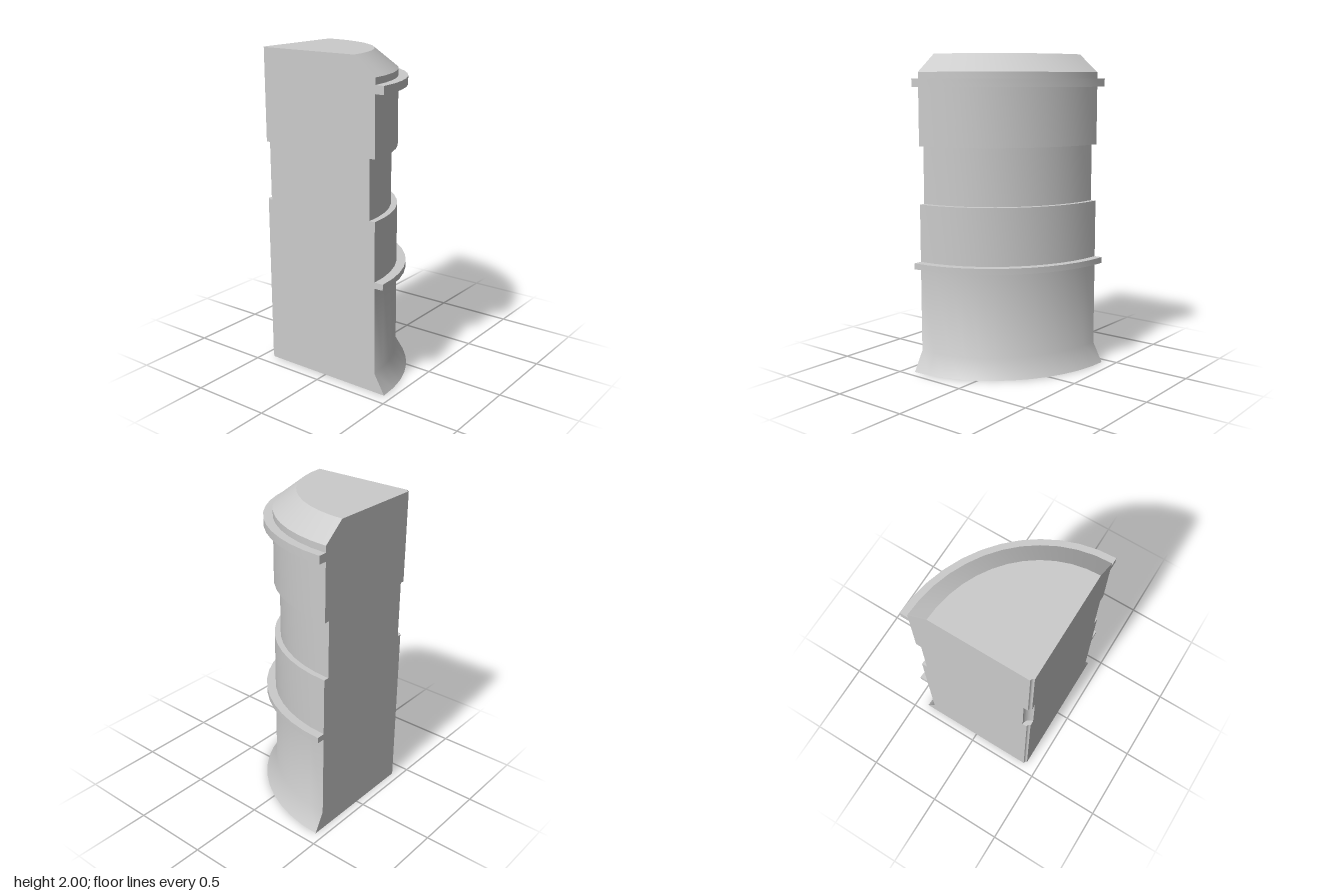
import * as THREE from 'three';
import { toCreasedNormals } from 'three/addons/utils/BufferGeometryUtils.js';

const CORNER_X = -0.418, CORNER_Z = -0.448;
const X_SCALE = 0.932; // the plan is a quarter of a slightly flattened ellipse

export function createModel() {
  const group = new THREE.Group();
  const material = new THREE.MeshStandardMaterial({ color: 0xcccccc });
  const flatMaterial = new THREE.MeshStandardMaterial({ color: 0xcccccc, side: THREE.DoubleSide });

  // Closed section (radius, height): outside going up, then the corner groove going down
  const inner = 0.018, groove = 0.048, body = 0.825, recess = 0.787, band = 0.883;
  const profile = [
    [inner, 0], [0.896, 0], [body, 0.125],      // flared foot
    [body, 0.667], [band, 0.667], [band, 0.705], [body, 0.705], // lower band
    [body, 1.07], [recess, 1.07], [recess, 1.433], [body, 1.433], // recessed belt
    [body, 1.797], [band, 1.797], [band, 1.847], [body, 1.847], // upper band
    [body, 1.887], [0.681, 2], [inner, 2],      // sloped shoulder and top
    [inner, 1.433], [groove, 1.433], [groove, 1.07], [inner, 1.07], [inner, 0], // corner groove
  ].map(([r, y]) => new THREE.Vector2(r, y));

  // Curved outside, top, bottom and corner groove
  let shell = new THREE.LatheGeometry(profile, 12, 0, Math.PI / 2);
  shell.scale(X_SCALE, 1, 1);
  shell = toCreasedNormals(shell, 0.6);
  const columnShell = new THREE.Mesh(shell, material);
  columnShell.name = 'columnShell';

  // Two flat cut sides that meet at the corner
  const section = new THREE.Shape(profile.slice(0, -1));
  const back = new THREE.Mesh(new THREE.ShapeGeometry(section).scale(X_SCALE, 1, 1), flatMaterial);
  back.name = 'backCutFace';
  const side = new THREE.Mesh(new THREE.ShapeGeometry(section).rotateY(-Math.PI / 2), flatMaterial);
  side.name = 'sideCutFace';

  for (const mesh of [columnShell, back, side]) {
    mesh.position.set(CORNER_X, 0, CORNER_Z);
    group.add(mesh);
  }
  return group;
}
